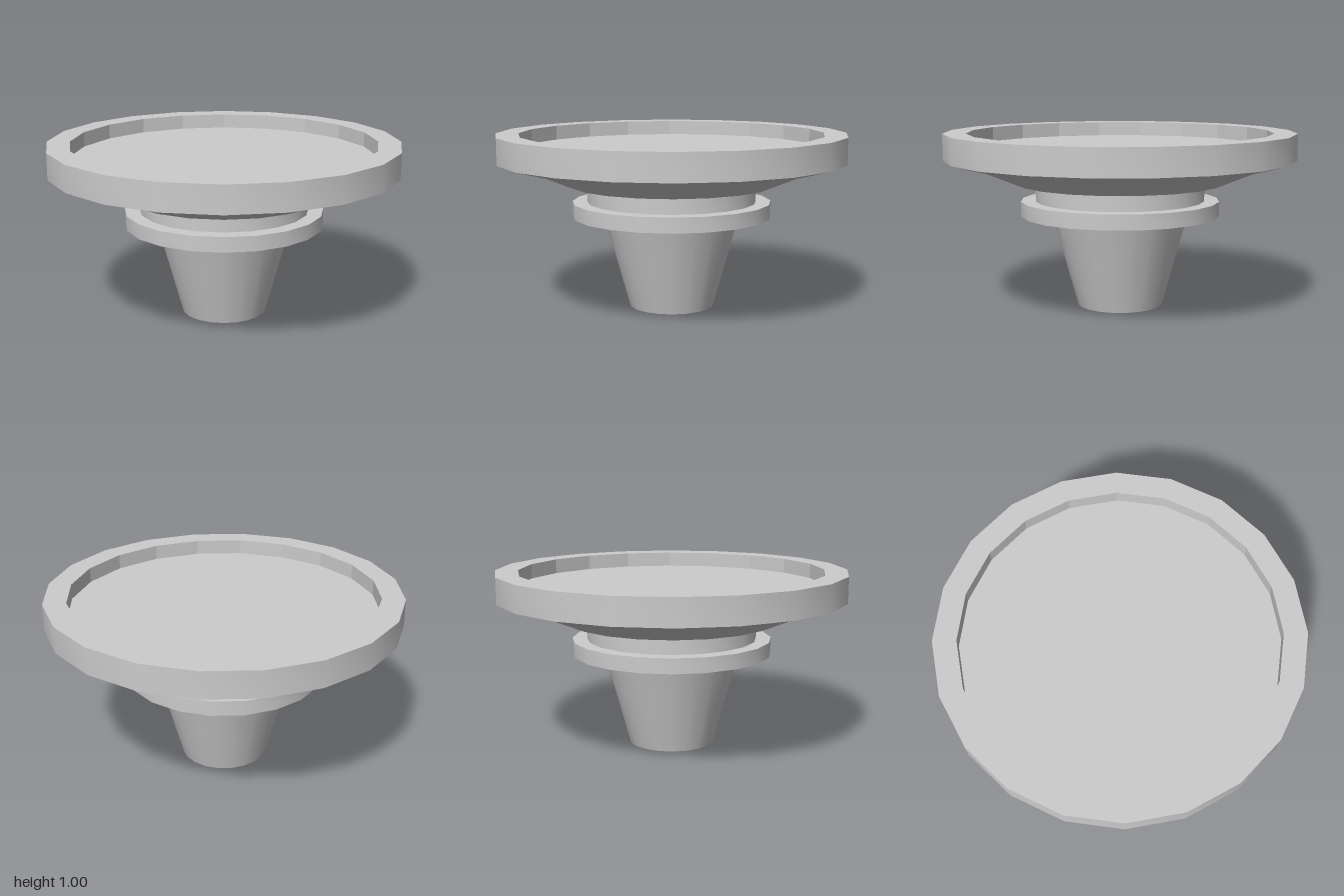
import * as THREE from 'three';
import { toCreasedNormals } from 'three/addons/utils/BufferGeometryUtils.js';

const SIDES = 20;

// Turns a profile of [radius, height] pairs; crease is the sharp-edge angle in degrees
function turned(name, profile, crease = 22) {
  const points = profile.map(([r, y]) => new THREE.Vector2(r, y));
  const geometry = toCreasedNormals(new THREE.LatheGeometry(points, SIDES), THREE.MathUtils.degToRad(crease));
  const mesh = new THREE.Mesh(geometry, new THREE.MeshStandardMaterial({ color: 0xcccccc }));
  mesh.name = name;
  return mesh;
}

export function createModel() {
  const model = new THREE.Group();
  model.name = 'dishOnStem';
  model.add(
    // Tapered stem with an open socket in its foot
    turned('stem', [[0, 0.5], [0.19, 0.5], [0.19, 0], [0.245, 0], [0.39, 0.525]]),
    // Flange ring above the stem
    turned('flange', [[0.3, 0.525], [0.57, 0.525], [0.57, 0.61], [0.4, 0.61]]),
    // Neck between flange and dish
    turned('neck', [[0.485, 0.61], [0.485, 0.71]]),
    // Dish underside, outer band and top lip
    turned('dish', [[0, 0.71], [0.59, 0.71], [0.8, 0.797], [1, 0.85], [1, 1], [0.87, 1]]),
    // Recessed tray with a faceted wall
    turned('tray', [[0.87, 1], [0.87, 0.915], [0, 0.915]], 5),
  );
  return model;
}
